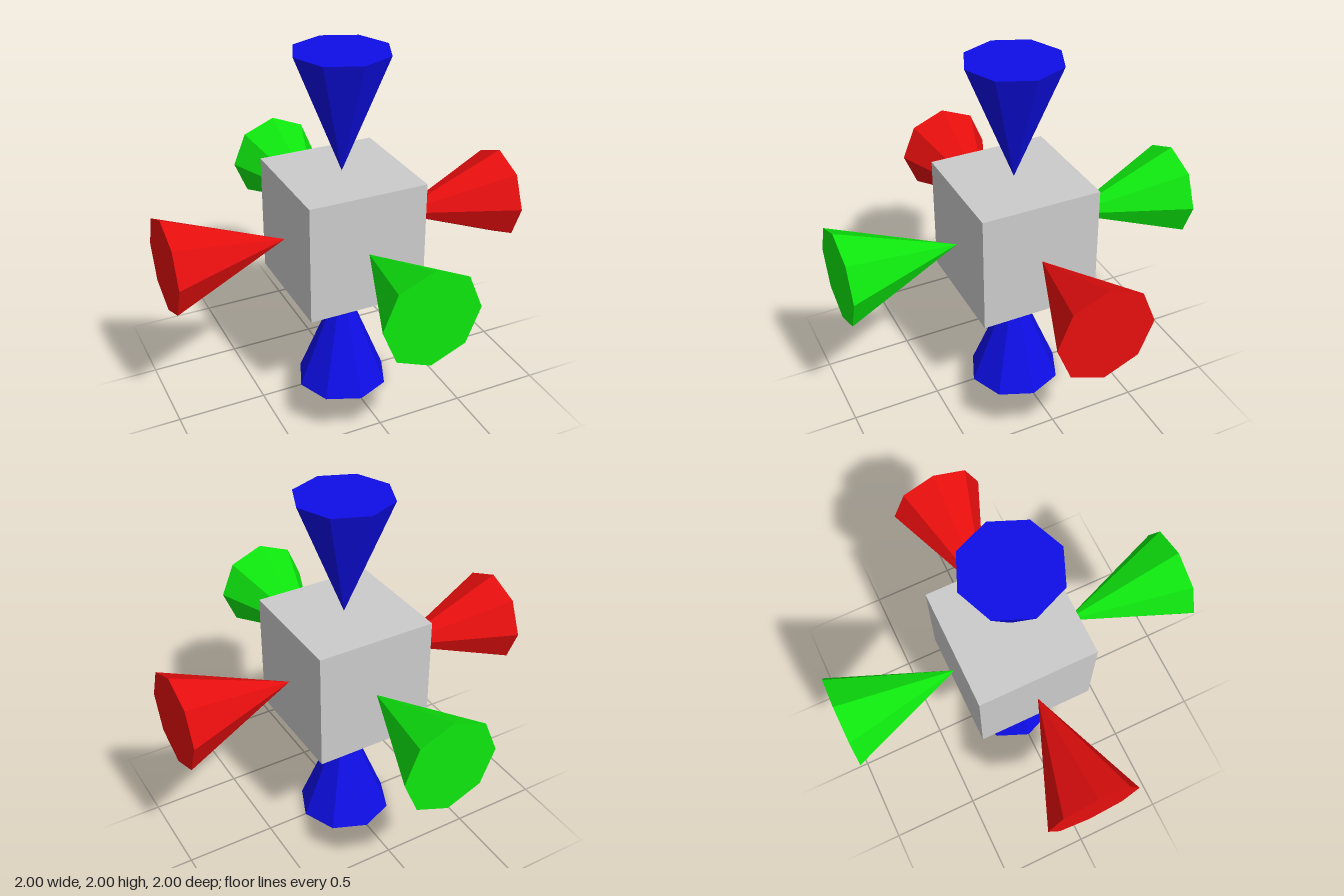
import * as THREE from 'three';

const CUBE = 0.667, APEX = 0.338, REACH = 1, RADIUS = 0.265;

export function createModel() {
  const model = new THREE.Group();
  model.name = 'cubeWithAxisCones';

  // Central cube
  const cube = new THREE.Mesh(
    new THREE.BoxGeometry(CUBE, CUBE, CUBE),
    new THREE.MeshStandardMaterial({ color: 0xcccccc, flatShading: true })
  );
  cube.name = 'centerCube';
  cube.position.y = 1;
  model.add(cube);

  // Eight-sided cones, tips meeting the cube faces, one pair per axis
  const coneGeometry = new THREE.ConeGeometry(RADIUS, REACH - APEX, 8);
  const up = new THREE.Vector3(0, 1, 0);
  const axes = [
    { dir: [1, 0, 0], color: 0xe70e0e, names: ['leftCone', 'rightCone'] },
    { dir: [0, 1, 0], color: 0x0e0ee7, names: ['topCone', 'bottomCone'] },
    { dir: [0, 0, 1], color: 0x0ee70e, names: ['frontCone', 'backCone'] },
  ];
  for (const { dir, color, names } of axes) {
    const material = new THREE.MeshStandardMaterial({ color, flatShading: true });
    [1, -1].forEach((side, i) => {
      const outward = new THREE.Vector3(...dir).multiplyScalar(side);
      const cone = new THREE.Mesh(coneGeometry, material);
      cone.name = names[i];
      cone.quaternion.setFromUnitVectors(up, outward.clone().negate());
      cone.position.copy(outward).multiplyScalar((APEX + REACH) / 2);
      cone.position.y += 1;
      model.add(cone);
    });
  }
  return model;
}
